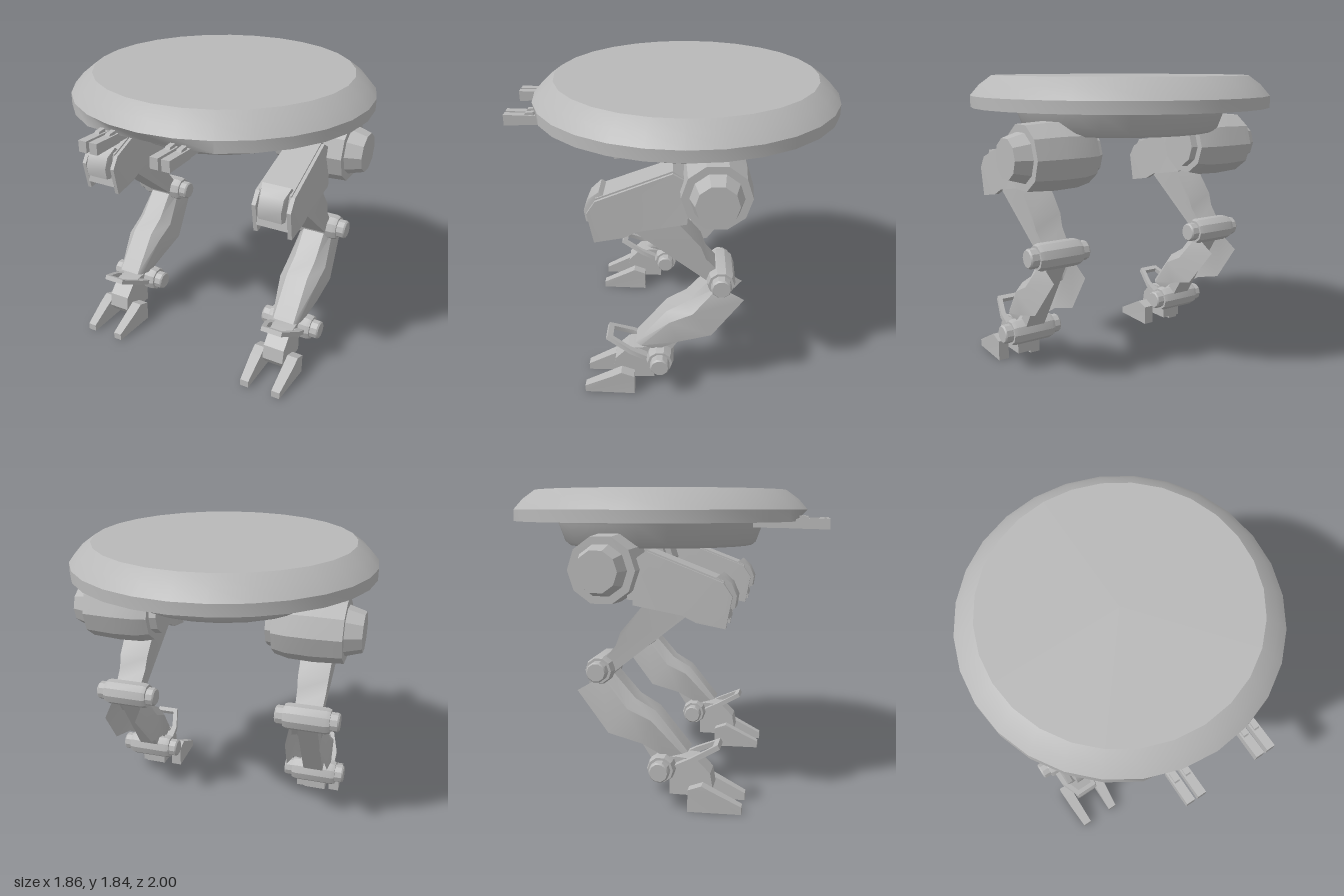
import * as THREE from 'three';
import { toCreasedNormals } from 'three/addons/utils/BufferGeometryUtils.js';

const grey = new THREE.MeshStandardMaterial({ color: 0xb8b8b8, side: THREE.DoubleSide });
grey.name = 'grey metal';

function part(name, geometry, parent, crease = 0.6) {
  const mesh = new THREE.Mesh(toCreasedNormals(geometry, crease), grey);
  mesh.name = name;
  parent.add(mesh);
  return mesh;
}

// Side outline of [z, y] points, given a width across x; rule may move vertices
function prism(outline, x0, x1, rule) {
  const shape = new THREE.Shape(outline.map(([z, y]) => new THREE.Vector2(z, y)));
  const g = new THREE.ExtrudeGeometry(shape, { depth: x1 - x0, bevelEnabled: false });
  g.rotateY(-Math.PI / 2).translate(x1, 0, 0);
  return rule ? bend(g, rule) : g;
}

function bend(g, rule) {
  const p = g.attributes.position, v = new THREE.Vector3();
  for (let i = 0; i < p.count; i++) {
    v.fromBufferAttribute(p, i);
    rule(v);
    p.setXYZ(i, v.x, v.y, v.z);
  }
  return g;
}

// Turned part from [radius, position] pairs in ascending position
const turned = (profile, sides) =>
  new THREE.LatheGeometry(profile.map(([r, h]) => new THREE.Vector2(r, h)), sides);

const axle = (profile, sides, y, z) =>
  turned(profile, sides).rotateZ(-Math.PI / 2).translate(0, y, z);

// Pivot with a thick collar and a narrower stub at either end
const joint = (y, z) => axle([
  [0, -0.2], [0.052, -0.2], [0.06, -0.19], [0.06, -0.145], [0.075, -0.145], [0.083, -0.12],
  [0.083, 0.12], [0.075, 0.145], [0.06, 0.145], [0.06, 0.19], [0.052, 0.2], [0, 0.2],
], 10, y, z);

// Shin guard: U-shaped sections, open to the rear
function shinGuard() {
  const stations = [ // front z, y, rear z, y, half width
    [-0.22, 0.80, -0.42, 0.68, 0.105],
    [-0.08, 0.64, -0.23, 0.44, 0.13],
    [0.04, 0.57, -0.03, 0.385, 0.125],
    [0.23, 0.335, 0.1, 0.3, 0.09],
  ];
  const pos = [], index = [];
  for (const [fz, fy, bz, by, w] of stations) {
    const mz = fz + (bz - fz) * 0.25, my = fy + (by - fy) * 0.25;
    pos.push(-w, by, bz, -w, my, mz, -0.07, fy, fz, 0.07, fy, fz, w, my, mz, w, by, bz);
  }
  for (let s = 0; s < stations.length - 1; s++)
    for (let k = 0; k < 5; k++) {
      const a = s * 6 + k, b = a + 6;
      index.push(a, b, a + 1, a + 1, b, b + 1);
    }
  const g = new THREE.BufferGeometry();
  g.setAttribute('position', new THREE.Float32BufferAttribute(pos, 3));
  g.setIndex(index);
  g.computeVertexNormals();
  return g;
}

function buildLeg(side) {
  const leg = new THREE.Group();
  leg.name = side > 0 ? 'leftLeg' : 'rightLeg';
  leg.position.x = 0.6 * side;

  // Hip drum with its caps
  const hip = part('hipDrum', axle([
    [0, -0.26], [0.135, -0.26], [0.14, -0.215], [0.18, -0.215], [0.2, -0.13], [0.205, 0.02],
    [0.195, 0.2], [0.15, 0.2], [0.12, 0.3], [0, 0.3],
  ], 10, 0, 0), leg);
  hip.position.set(0, 1.39, -0.24);
  if (side < 0) hip.rotation.y = Math.PI;

  // Thigh: solid core between two deeper cheek plates
  const narrowTop = v => { if (v.y > 1.4) v.x *= 0.9; };
  part('thigh', prism([[0, 1.5], [0.43, 1.335], [0.46, 1.12], [0.28, 1.15], [0.15, 1.19],
    [-0.12, 1.22], [-0.1, 1.43]], -0.1, 0.1, narrowTop), leg);
  for (const s of [-1, 1])
    part('thighCheek', prism([[0, 1.49], [0.43, 1.325], [0.48, 1.25], [0.445, 1.07], [0.28, 1.1],
      [0.2, 1.14], [-0.08, 1.19], [-0.1, 1.43]], s * 0.108 - 0.013, s * 0.108 + 0.013, narrowTop), leg);
  part('thighNose', prism([[0.37, 1.34], [0.41, 1.37], [0.47, 1.32], [0.5, 1.25], [0.49, 1.18],
    [0.4, 1.17]], -0.09, 0.09, v => { if (v.z > 0.46) v.x *= 0.8; }), leg);

  // Link sloping back from thigh to knee
  part('upperLink', prism([[0.22, 1.13], [0.16, 1.25], [0, 1.22], [-0.16, 1.03], [-0.19, 0.95],
    [-0.26, 0.87], [-0.3, 0.8], [-0.22, 0.78]], -1, 1,
  v => { v.x *= 0.08 + 0.02 * THREE.MathUtils.clamp((v.y - 0.8) / 0.3, 0, 1); }), leg);
  part('knee', joint(0.81, -0.28), leg);

  // Lower leg
  part('shinGuard', shinGuard(), leg);
  part('shinBar', prism([[-0.31, 0.79], [-0.25, 0.83], [0.11, 0.26], [0.05, 0.22]], -0.065, 0.065), leg);
  part('ankle', joint(0.24, 0.08), leg);

  // Open frame above the foot
  const frame = new THREE.Shape([[-0.12, 0], [0.12, 0], [0.12, 0.1], [0.07, 0.27], [-0.07, 0.27],
    [-0.12, 0.1]].map(p => new THREE.Vector2(...p)));
  frame.holes.push(new THREE.Path([[-0.08, 0.06], [-0.085, 0.11], [-0.05, 0.235], [0.05, 0.235],
    [0.085, 0.11], [0.08, 0.06]].map(p => new THREE.Vector2(...p))));
  const guard = part('ankleFrame',
    new THREE.ExtrudeGeometry(frame, { depth: 0.03, bevelEnabled: false }), leg);
  guard.rotation.x = Math.PI / 2 - 0.46;
  guard.position.set(0, 0.265, 0.16);

  // Foot block and its two toes
  part('foot', prism([[0.12, 0.07], [0.12, 0.16], [0.04, 0.18], [0.04, 0.28], [0.16, 0.3], [0.28, 0.29],
    [0.36, 0.21], [0.375, 0.12], [0.34, 0.07]], -0.07, 0.07), leg);
  for (const s of [-1, 1])
    part('toe', prism([[0.24, 0], [0.24, 0.13], [0.32, 0.16], [0.38, 0.13], [0.55, 0.045], [0.55, 0]],
      s * 0.115 - 0.035, s * 0.115 + 0.035,
      v => { if (v.z > 0.5) v.x = s * 0.108 + (v.x - s * 0.115) * 0.8; }), leg);
  return leg;
}

export function createModel() {
  const model = new THREE.Group();
  model.name = 'walker';
  const cz = -0.067;

  // Saucer hull, its underside cut flat at the front
  const hull = turned([[0, 1.65], [0.6, 1.65], [0.932, 1.65], [0.932, 1.72], [0.875, 1.785],
    [0.8, 1.84], [0, 1.84]], 28);
  bend(hull, v => { if (v.y < 1.66) v.z = Math.min(v.z, 0.865); });
  part('hull', hull.translate(0, 0, cz), model);
  part('hullBelly', turned([[0, 1.5], [0.59, 1.5], [0.615, 1.52], [0.655, 1.63], [0.67, 1.66]], 24)
    .translate(0, 0, cz), model);

  // Paired guns under the front rim
  for (const x of [-0.26, -0.19, 0.19, 0.26]) {
    const gun = new THREE.Group();
    gun.name = 'gun';
    gun.position.x = x;
    part('gunMount', prism([[0.55, 1.615], [0.55, 1.65], [0.84, 1.65], [0.84, 1.61]], -0.02, 0.02), gun);
    part('gunBarrel', prism([[0.8, 1.61], [0.8, 1.665], [1, 1.67], [1, 1.605]], -0.025, 0.025), gun);
    part('gunSight', prism([[0.82, 1.66], [0.82, 1.685], [0.87, 1.68], [0.88, 1.66]], -0.015, 0.015), gun);
    model.add(gun);
  }

  model.add(buildLeg(1), buildLeg(-1));
  return model;
}
